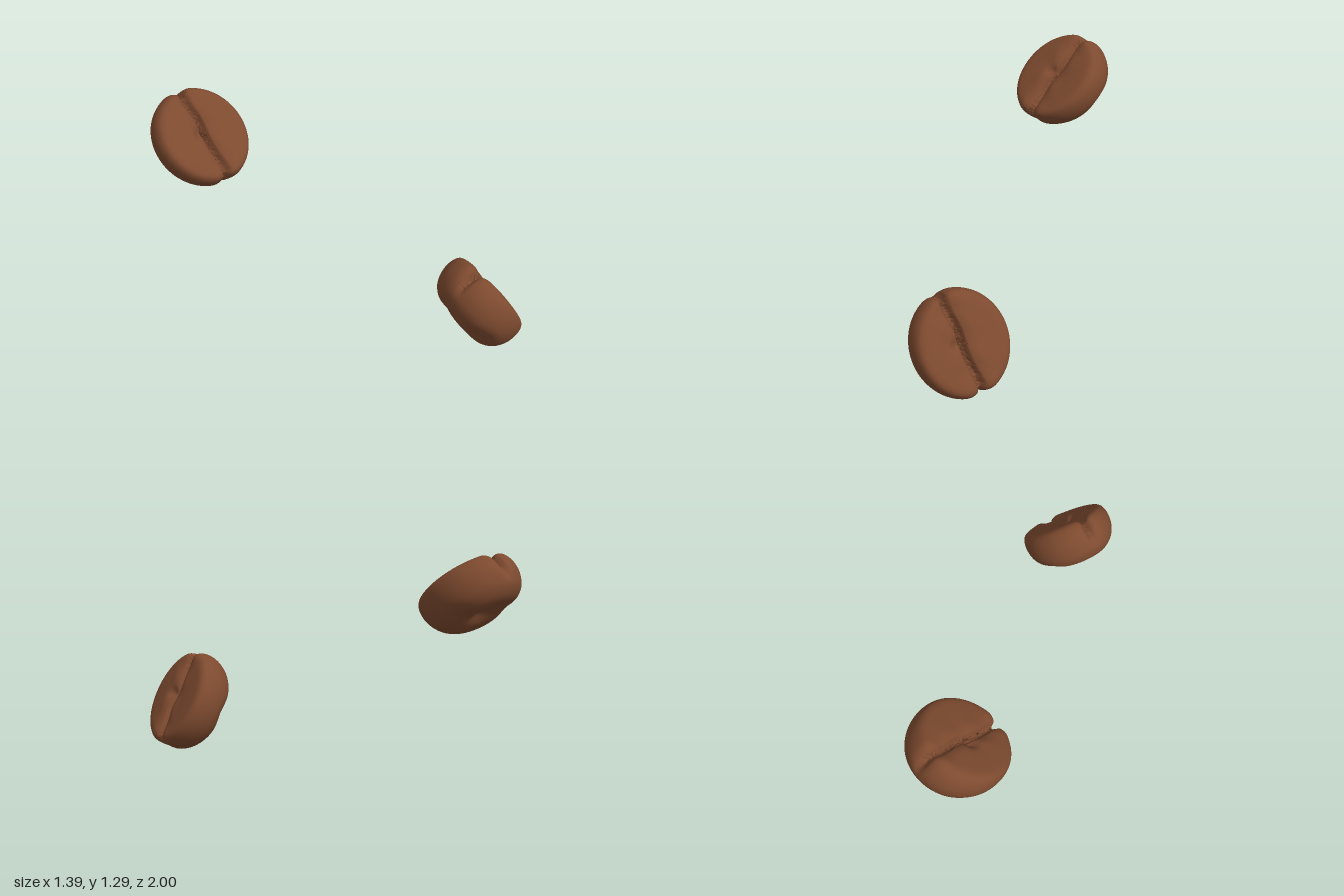
import * as THREE from 'three';
import { mergeVertices } from 'three/addons/utils/BufferGeometryUtils.js';

const gauss = (v, w) => Math.exp(-(v / w) * (v / w));

// Small seeded random generator for the rough groove floor
function seeded(seed) {
  let s = seed;
  return () => (s = (s * 16807) % 2147483647) / 2147483647;
}

// Half-section of a bean, from the middle of the back round the rim to the flat face
const PROFILE = new THREE.SplineCurve([
  [0, -0.255], [0.1, -0.256], [0.18, -0.243], [0.24, -0.203], [0.275, -0.145],
  [0.286, -0.085], [0.276, -0.032], [0.247, -0.006], [0.18, 0], [0.09, 0], [0, 0],
].map(([r, h]) => new THREE.Vector2(r, h)));

// Local frame: x across the groove, y out of the flat face, -z along the groove
function beanGeometry({ shear, offset, slope, seed }) {
  const rnd = seeded(seed);
  let geo = new THREE.LatheGeometry(PROFILE.getSpacedPoints(120), 150);
  geo.deleteAttribute('uv');
  geo.deleteAttribute('normal');
  geo = mergeVertices(geo, 1e-5);
  geo.computeVertexNormals();
  const pos = geo.attributes.position;
  const nor = geo.attributes.normal;
  const p = new THREE.Vector3();
  const n = new THREE.Vector3();
  for (let i = 0; i < pos.count; i++) {
    p.fromBufferAttribute(pos, i);
    n.fromBufferAttribute(nor, i);
    const u = -p.z;
    const front = THREE.MathUtils.smoothstep(p.y, -0.2, -0.04);
    const back = THREE.MathUtils.smoothstep(-p.y, 0.15, 0.24);
    // Wavering centre line of the groove, with rolled lips and a ragged floor
    const dx = p.x - offset - slope * u - 0.006 * Math.sin(u * 22);
    const floor = Math.exp(-Math.pow(dx / 0.02, 4));
    let depth = 0.022 * gauss(dx, 0.045) + floor * (0.022 + 0.022 * rnd());
    // Pinch beside the groove and faint wrinkles across the lobes
    depth += 0.02 * gauss(dx + 0.04, 0.03) * gauss(u - 0.01, 0.03);
    depth += 0.003 * Math.sin(u * 38 + 1) * gauss(Math.abs(dx) - 0.06, 0.04);
    depth *= front;
    // Saddle and dimple in the back
    depth += back * (0.018 * gauss(u - 0.01, 0.08) + 0.02 * gauss(p.x - 0.03, 0.07) * gauss(u, 0.06));
    p.addScaledVector(n, -depth);
    p.z += p.y * shear;
    pos.setXYZ(i, p.x, p.y, p.z);
  }
  return geo;
}

// Turns the bean to its facing and fits it between two corners
function makeBean(name, material, { normal, along, min, max, ...shape }) {
  const geo = beanGeometry(shape);
  const y = new THREE.Vector3(...normal).normalize();
  const x = new THREE.Vector3().crossVectors(new THREE.Vector3(...along), y).normalize();
  const z = new THREE.Vector3().crossVectors(x, y);
  geo.applyMatrix4(new THREE.Matrix4().makeBasis(x, y, z));
  geo.computeBoundingBox();
  const from = geo.boundingBox.getSize(new THREE.Vector3());
  const mid = geo.boundingBox.getCenter(new THREE.Vector3());
  const size = max.map((v, i) => v - min[i]);
  geo.translate(-mid.x, -mid.y, -mid.z);
  geo.scale(size[0] / from.x, size[1] / from.y, size[2] / from.z);
  geo.translate(...min.map((v, i) => v + size[i] / 2));
  geo.computeVertexNormals();
  const mesh = new THREE.Mesh(geo, material);
  mesh.name = name;
  return mesh;
}

export function createModel() {
  const group = new THREE.Group();
  group.name = 'coffeeBeans';
  const roast = new THREE.MeshStandardMaterial({ color: 0x7d4a2f });
  roast.name = 'roastedBrown';

  group.add(
    // Upper bean, lying back with its face up and forward
    makeBean('upperBean', roast, {
      normal: [0, 0.74, 0.67], along: [0, 0.67, -0.74],
      min: [-0.7, 0.815, -1], max: [-0.145, 1.29, -0.46],
      shear: 0.1, offset: 0, slope: -0.02, seed: 71,
    }),
    // Lower bean, standing on its end with its face to the side
    makeBean('lowerBean', roast, {
      normal: [0.86, 0.5, 0.12], along: [-0.5, 0.86, 0],
      min: [0.23, 0, 0.455], max: [0.695, 0.565, 1],
      shear: -0.03, offset: -0.015, slope: -0.08, seed: 1234,
    }),
  );
  return group;
}
